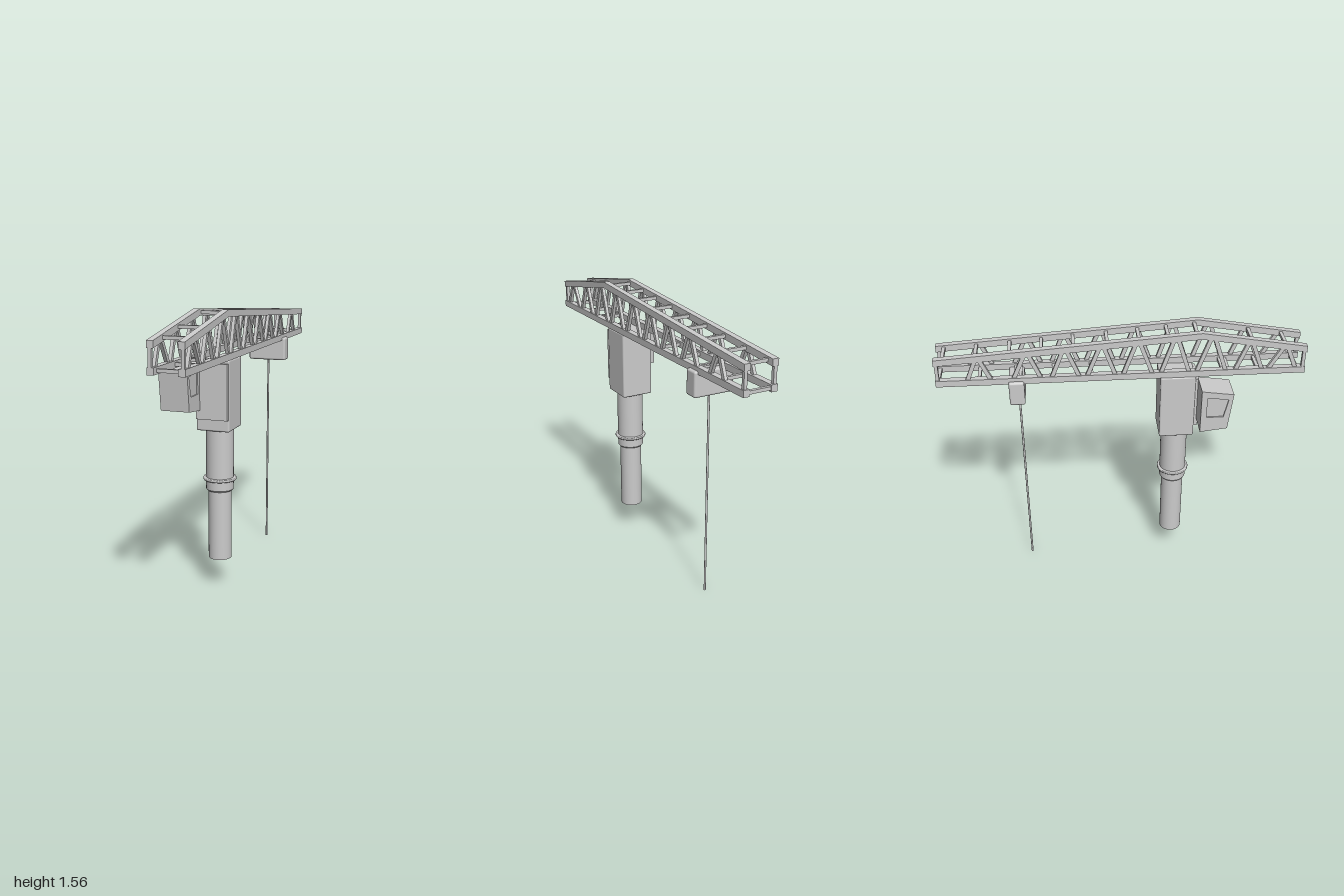
import * as THREE from 'three';
import { RoundedBoxGeometry } from 'three/addons/geometries/RoundedBoxGeometry.js';

const CX = 0.054;          // centre line of mast and jib
const MAST_Z = 0.305;
const PEAK_Z = 0.425;
const material = new THREE.MeshStandardMaterial({ color: 0xcccccc });

function add(parent, name, geometry, x = 0, y = 0, z = 0) {
  const mesh = new THREE.Mesh(geometry, material);
  mesh.name = name;
  mesh.position.set(x, y, z);
  parent.add(mesh);
  return mesh;
}

const box = (w, h, d) => new THREE.BoxGeometry(w, h, d);
const toPoints = (pts) => pts.map(([z, y]) => new THREE.Vector2(z, y));

// Side profile given as [z, y], extruded across x and centred on x = 0
function sideExtrude(profile, width, hole) {
  const shape = new THREE.Shape(toPoints(profile));
  if (hole) shape.holes.push(new THREE.Path(toPoints(hole)));
  const g = new THREE.ExtrudeGeometry(shape, { depth: width, bevelEnabled: false });
  return g.translate(0, 0, -width / 2).rotateY(-Math.PI / 2);
}

// Square bar lying in a side plane, from (z0, y0) to (z1, y1)
function sideBar(parent, name, x, z0, y0, z1, y1, t) {
  const length = Math.hypot(z1 - z0, y1 - y0);
  const bar = add(parent, name, box(0.018, length, t), x, (y0 + y1) / 2, (z0 + z1) / 2);
  bar.rotation.x = Math.atan2(z1 - z0, y1 - y0);
}

// Centre height of the upper chord
function chordY(z) {
  const end = z > PEAK_Z ? 1 : -1;
  return 1.538 - 0.101 * (z - PEAK_Z) / (end - PEAK_Z);
}

function buildJib() {
  const jib = new THREE.Group();
  jib.name = 'jib';
  const half = 0.018;
  const upper = [
    [-1, 1.437 - half], [PEAK_Z, 1.538 - half], [1, 1.437 - half],
    [1, 1.437 + half], [PEAK_Z, 1.538 + half], [-1, 1.437 + half],
  ];
  // Lattice: peak position and its two feet
  const lattice = [
    [0.885, 0.95, 0.79], [0.69, 0.765, 0.61], [0.484, 0.565, 0.4],
    [0.286, 0.365, 0.205], [0.083, 0.165, 0.0], [-0.11, -0.035, -0.195],
    [-0.307, -0.23, -0.385], [-0.51, -0.435, -0.59], [-0.77, -0.7, -0.835],
  ];
  for (const side of [-1, 1]) {
    const x = CX + side * 0.079;
    add(jib, 'upperChord', sideExtrude(upper, 0.035), x);
    add(jib, 'lowerChord', box(0.035, 0.036, 2), x, 1.312, 0);
    const xb = CX + side * 0.083;
    for (const [peak, a, b] of lattice) {
      for (const foot of [a, b]) {
        const top = peak + (foot - peak) * 0.1;
        sideBar(jib, 'diagonal', xb, foot, 1.312, top, chordY(peak), 0.022);
      }
    }
    for (const end of [-0.987, 0.987]) sideBar(jib, 'endPost', xb, end, 1.31, end, 1.437, 0.018);
  }
  // Cross bars joining both sides
  for (const z of [0.886, 0.7, 0.4, 0.245, 0.09, -0.08, -0.26, -0.43, -0.6, -0.78, -0.955]) {
    add(jib, 'upperCrossBar', box(0.15, 0.018, 0.018), CX, chordY(z), z);
  }
  for (const z of [0.958, 0.743, 0.58, 0.55, -0.165, -0.37, -0.55, -0.575, -0.77, -0.987]) {
    add(jib, 'lowerCrossBar', box(0.15, 0.018, 0.018), CX, 1.312, z);
  }
  return jib;
}

function buildMast() {
  const mast = new THREE.Group();
  mast.name = 'mast';
  const tube = (r, y0, y1) => new THREE.CylinderGeometry(r, r, y1 - y0, 48).translate(0, (y0 + y1) / 2, 0);
  add(mast, 'lowerTube', tube(0.064, 0.17, 0.6), CX, 0, MAST_Z);
  add(mast, 'upperTube', tube(0.076, 0.57, 0.93), CX, 0, MAST_Z);
  add(mast, 'sleeveLip', new THREE.CylinderGeometry(0.076, 0.07, 0.008, 48), CX, 0.566, MAST_Z);
  // Rounded collar ring
  const ring = [[0.07, 0.621], [0.088, 0.621], [0.091, 0.625], [0.091, 0.633], [0.088, 0.637], [0.07, 0.637]];
  add(mast, 'collar', new THREE.LatheGeometry(toPoints(ring), 48), CX, 0, MAST_Z);
  // Housing under the jib with its front plate
  add(mast, 'housing', new RoundedBoxGeometry(0.187, 0.385, 0.195, 3, 0.01), 0.05, 1.1, MAST_Z);
  add(mast, 'frontPlate', box(0.176, 0.3, 0.03), 0.05, 1.123, 0.406);
  return mast;
}

function buildCab() {
  const cab = new THREE.Group();
  cab.name = 'cab';
  const body = [[0.415, 1.02], [0.565, 1.037], [0.59, 1.252], [0.415, 1.278]];
  const opening = [[0.447, 1.113], [0.447, 1.237], [0.563, 1.22], [0.54, 1.113]];
  add(cab, 'cabShell', sideExtrude(body, 0.16, opening), -0.095);
  add(cab, 'sideWindows', sideExtrude(opening, 0.145), -0.095);
  return cab;
}

function buildTrolley() {
  const trolley = new THREE.Group();
  trolley.name = 'trolley';
  add(trolley, 'trolleyBody', new RoundedBoxGeometry(0.232, 0.14, 0.084, 3, 0.012), CX, 1.24, -0.573);
  add(trolley, 'hoistCable', new THREE.CylinderGeometry(0.006, 0.006, 1.2, 16), CX, 0.6, -0.567);
  return trolley;
}

export function createModel() {
  const crane = new THREE.Group();
  crane.name = 'crane';
  crane.add(buildMast(), buildJib(), buildCab(), buildTrolley());
  return crane;
}
